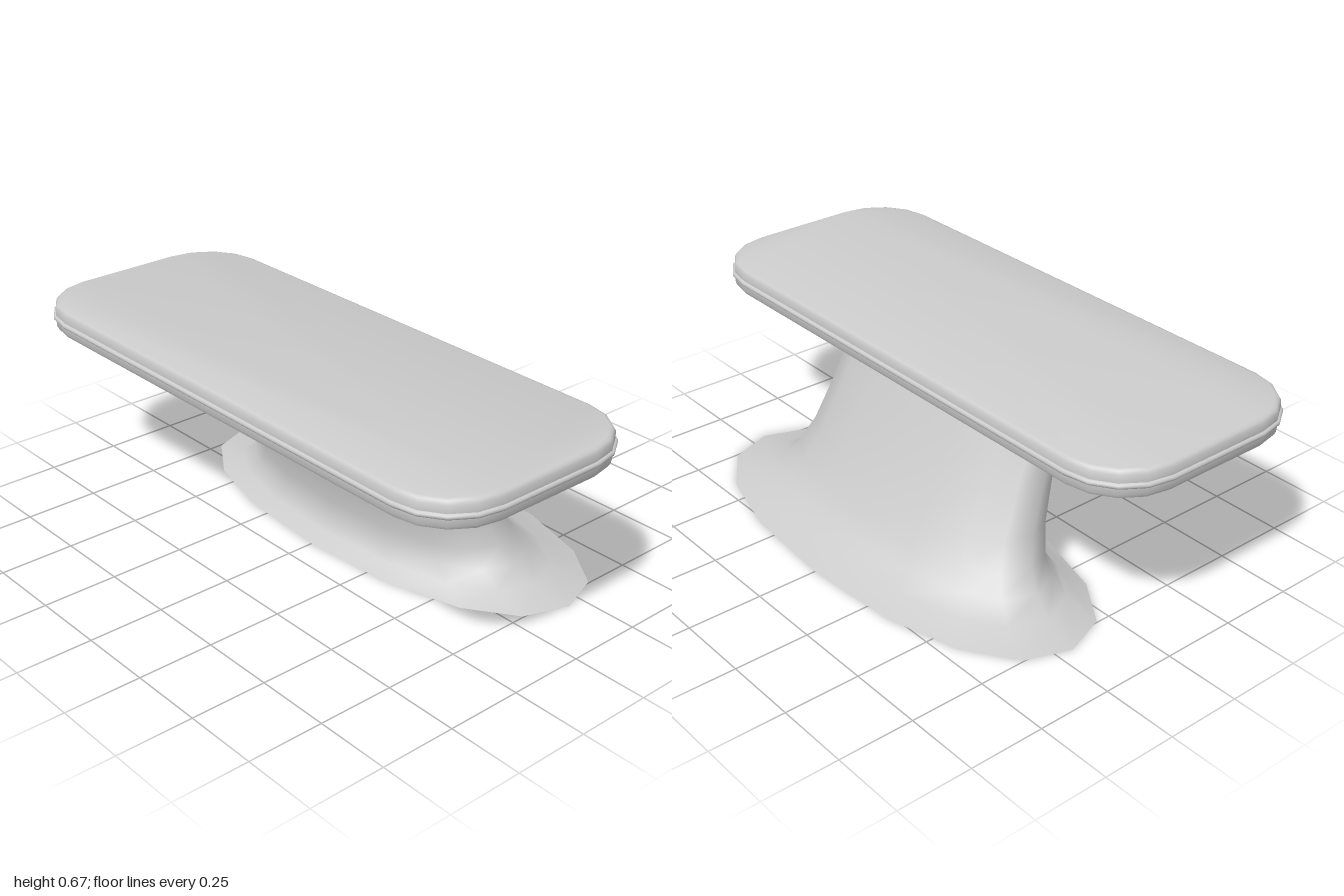
import * as THREE from 'three';
import { toCreasedNormals } from 'three/addons/utils/BufferGeometryUtils.js';

// Skins a stack of rings (arrays of [x, y, z], listed bottom to top), optionally capped.
function loft(rings, capped) {
  const n = rings[0].length;
  const position = rings.flat(2);
  const index = [];
  for (let r = 0; r < rings.length - 1; r++) {
    for (let i = 0; i < n; i++) {
      const a = r * n + i, b = r * n + (i + 1) % n;
      index.push(a, a + n, b, b, a + n, b + n);
    }
  }
  if (capped) {
    const last = (rings.length - 1) * n;
    for (let i = 1; i < n - 1; i++) {
      index.push(0, i, i + 1);
      index.push(last, last + i + 1, last + i);
    }
  }
  const g = new THREE.BufferGeometry();
  g.setAttribute('position', new THREE.Float32BufferAttribute(position, 3));
  g.setIndex(index);
  g.computeVertexNormals();
  return g;
}

// Rounded rectangle ring of the tabletop, pulled in from its outer edge by inset.
function topRing(inset, y) {
  const halfX = 1, halfZ = 0.397, radius = 0.215, centreZ = 0.145, steps = 4;
  const ring = [];
  const corners = [[1, 1], [-1, 1], [-1, -1], [1, -1]];
  corners.forEach(([sx, sz], q) => {
    for (let i = 0; i <= steps; i++) {
      const a = (q + i / steps) * Math.PI / 2;
      ring.push([
        sx * (halfX - radius) + Math.cos(a) * (radius - inset),
        y,
        centreZ + sz * (halfZ - radius) + Math.sin(a) * (radius - inset),
      ]);
    }
  });
  return ring;
}

// Slightly squared ellipse ring of the pedestal.
function stemRing([y, halfX, front, back]) {
  const soft = (v) => Math.sign(v) * Math.abs(v) ** 0.89;
  const ring = [];
  for (let i = 0; i < 16; i++) {
    const a = i * Math.PI / 8;
    ring.push([
      halfX * soft(Math.cos(a)),
      y,
      (front + back) / 2 + (front - back) / 2 * soft(Math.sin(a)),
    ]);
  }
  return ring;
}

export function createModel() {
  const model = new THREE.Group();
  const add = (name, geometry, side = THREE.FrontSide) => {
    const mesh = new THREE.Mesh(geometry, new THREE.MeshStandardMaterial({ color: 0xcccccc, side }));
    mesh.name = name;
    model.add(mesh);
  };

  // Slab with softened edges: [inset, height]
  const slab = [
    [0.026, 0.574], [0.015, 0.577], [0.009, 0.588], [0.008, 0.61],
    [0.008, 0.63], [0.009, 0.651], [0.015, 0.661], [0.026, 0.665],
  ];
  add('tabletop', toCreasedNormals(loft(slab.map(([d, y]) => topRing(d, y)), true), 0.8));

  // Half-round bead running around the edge
  const bead = [];
  for (let i = 0; i <= 6; i++) {
    const a = (i / 6 - 0.5) * Math.PI;
    bead.push(topRing(0.009 - 0.009 * Math.cos(a), 0.618 + 0.009 * Math.sin(a)));
  }
  add('edgeBead', loft(bead, false), THREE.DoubleSide);

  // Hollow leaning pedestal with a flared foot: [height, half width, front z, back z]
  const stem = [
    [0, 0.8, 0.155, -0.543],
    [0.03, 0.675, 0.102, -0.455],
    [0.07, 0.602, 0.078, -0.395],
    [0.13, 0.555, 0.074, -0.35],
    [0.215, 0.52, 0.088, -0.294],
    [0.34, 0.498, 0.116, -0.224],
    [0.455, 0.487, 0.15, -0.166],
    [0.58, 0.482, 0.187, -0.106],
  ];
  add('pedestal', loft(stem.map(stemRing), false), THREE.DoubleSide);

  return model;
}
